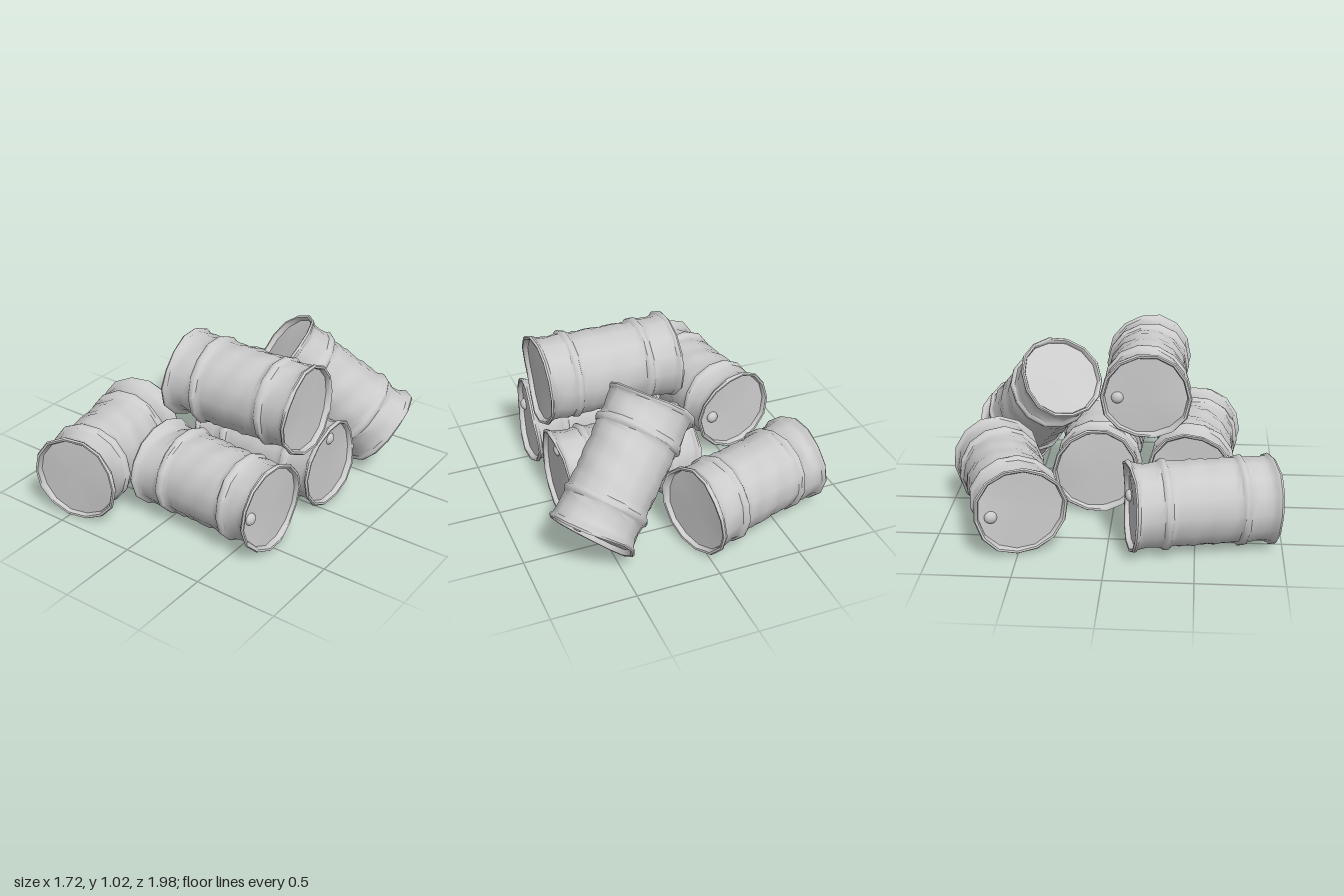
import * as THREE from 'three';
import { toCreasedNormals } from 'three/addons/utils/BufferGeometryUtils.js';

const HALF = 0.415;   // half the barrel length
const SIDES = 14;

// plain end -> knob end, and the offset of the knob from the end's centre
const BARRELS = [
  { name: 'frontBarrel', from: [-0.17, 0.285, 0.465], to: [0.665, 0.288, 0.51], knob: [0, 0.01, 0.17], dent: 1.2 },
  { name: 'middleBarrel', from: [-0.16, 0.285, -0.1], to: [0.675, 0.285, -0.095], knob: [0, 0.16, 0], dent: 4.4 },
  { name: 'topBarrel', from: [0.68, 0.77, 0.18], to: [-0.165, 0.77, 0.195], knob: [0, -0.01, -0.17], dent: 2.6 },
  { name: 'leftBarrel', from: [-0.44, 0.282, 0.935], to: [-0.61, 0.285, 0.12], knob: [0.17, -0.01, 0.035], dent: 0.5 },
  { name: 'backBarrel', from: [0.06, 0.285, -0.74], to: [-0.73, 0.285, -0.475], knob: [-0.05, -0.03, -0.16], dent: 5.3 },
  { name: 'leaningBarrel', from: [0.14, 0.79, -0.33], to: [0.66, 0.255, -0.7], knob: [0.04, -0.05, 0.13], dent: 3.4 },
];

// Half profile from the hoop to the middle of the recessed end plate
const END = [
  [0.247, 0.195], [0.26, 0.206], [0.263, 0.22], [0.26, 0.234], [0.248, 0.245],
  [0.246, 0.285], [0.247, 0.325], [0.249, 0.36], [0.255, 0.385],
  [0.265, 0.392], [0.269, 0.404], [0.262, 0.415], [0.25, 0.413], [0.244, 0.403], [0.242, 0.385], [0, 0.385],
];

function barrelProfile() {
  const points = END.map(([r, y]) => new THREE.Vector2(r, -y)).reverse();
  // lightly ribbed middle
  for (let i = 1; i < 12; i++) {
    const y = -0.195 + (0.39 * i) / 12;
    points.push(new THREE.Vector2(0.244 + (i % 2 ? -0.002 : 0.002), y));
  }
  END.forEach(([r, y]) => points.push(new THREE.Vector2(r, y)));
  return points;
}

// Crumple the shell: shallow wrinkles, a wavy rim and one dent near each end
function crumple(geometry, seed, dentAngle) {
  const pos = geometry.attributes.position;
  const v = new THREE.Vector3();
  for (let i = 0; i < pos.count; i++) {
    v.fromBufferAttribute(pos, i);
    const r = Math.hypot(v.x, v.z);
    if (r < 0.01) continue;
    const a = Math.atan2(v.z, v.x);
    const y = v.y;
    let dr = 0.004 * Math.sin(2 * a + seed * 2.1 + y * 5)
      + 0.003 * Math.sin(3 * a - y * 38 + seed)
      + 0.002 * Math.sin(5 * a + y * 61 + seed * 3);
    for (const end of [-1, 1]) {
      const da = Math.cos(a - dentAngle - (end < 0 ? 2 : 0)) - 1;
      dr -= 0.026 * Math.exp(da * 5 - ((y - end * 0.335) / 0.05) ** 2);
    }
    const k = (r + dr) / r;
    const wave = 0.011 * Math.sin(2 * a + seed) + 0.006 * Math.sin(3 * a + seed * 2);
    pos.setXYZ(i, v.x * k, y + wave * (Math.abs(y) / HALF) ** 6, v.z * k);
  }
  return toCreasedNormals(geometry, 0.75);
}

export function createModel() {
  const model = new THREE.Group();
  model.name = 'barrelPile';
  const material = new THREE.MeshStandardMaterial({ color: 0xcccccc, side: THREE.DoubleSide });
  const up = new THREE.Vector3(0, 1, 0);
  const profile = barrelProfile();

  BARRELS.forEach(({ name, from, to, knob, dent }, i) => {
    const start = new THREE.Vector3(...from);
    const end = new THREE.Vector3(...to);
    const barrel = new THREE.Group();
    barrel.name = name;
    barrel.position.copy(start).add(end).multiplyScalar(0.5);
    barrel.quaternion.setFromUnitVectors(up, end.clone().sub(start).normalize());

    // shell with hoops, rolled rims and end plates
    const shell = new THREE.Mesh(crumple(new THREE.LatheGeometry(profile, SIDES), i * 1.7 + 0.6, dent), material);
    shell.name = 'shell';
    barrel.add(shell);

    // round filler cap on one end plate
    const cap = new THREE.Mesh(new THREE.SphereGeometry(0.037, 16, 10), material);
    cap.name = 'fillerCap';
    cap.position.set(...knob).applyQuaternion(barrel.quaternion.clone().invert());
    cap.position.y = 0.385;
    cap.scale.y = 0.7;
    barrel.add(cap);
    model.add(barrel);
  });
  return model;
}
